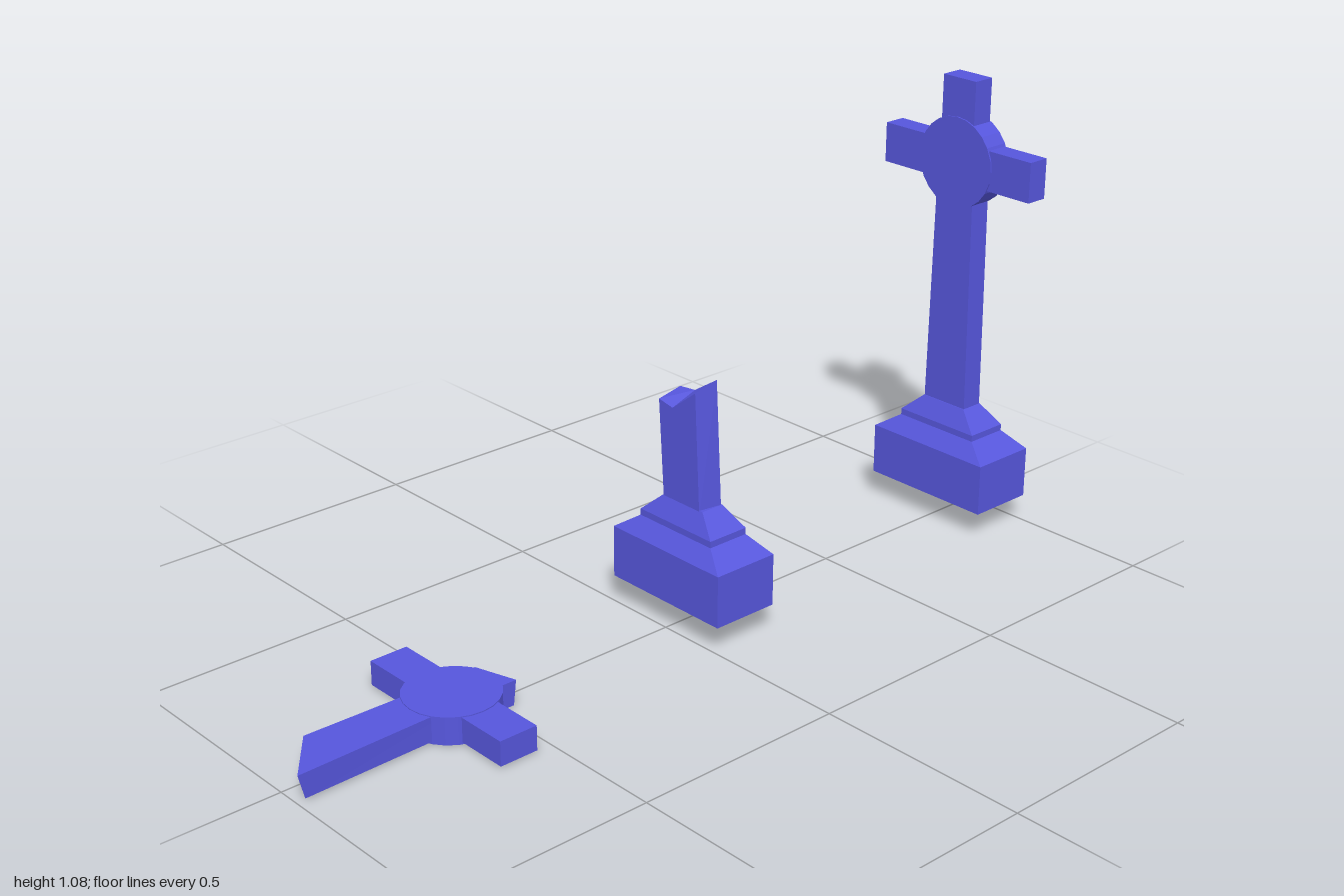
import * as THREE from 'three';

const material = new THREE.MeshStandardMaterial({ color: 0x5656dc, flatShading: true, side: THREE.DoubleSide });

function add(parent, geometry, name, x = 0, y = 0, z = 0) {
  const mesh = new THREE.Mesh(geometry, material);
  mesh.name = name;
  mesh.position.set(x, y, z);
  parent.add(mesh);
  return mesh;
}

// Skins matching rings of [x, y, z], counter-clockwise seen from above, and caps both ends
function loft(rings) {
  const n = rings[0].length;
  const pos = [];
  const quad = (a, b, c, d) => pos.push(...a, ...b, ...c, ...a, ...c, ...d);
  for (let r = 0; r < rings.length - 1; r++) {
    const lo = rings[r], hi = rings[r + 1];
    for (let i = 0; i < n; i++) {
      const j = (i + 1) % n;
      quad(lo[i], lo[j], hi[j], hi[i]);
    }
  }
  const bottom = rings[0], top = rings[rings.length - 1];
  for (let i = 0; i < n / 2 - 1; i++) {
    quad(top[i], top[i + 1], top[n - 2 - i], top[n - 1 - i]);
    quad(bottom[n - 1 - i], bottom[n - 2 - i], bottom[i + 1], bottom[i]);
  }
  const geometry = new THREE.BufferGeometry();
  geometry.setAttribute('position', new THREE.Float32BufferAttribute(pos, 3));
  geometry.computeVertexNormals();
  return geometry;
}

const rect = (y, hx, hz) => [[-hx, y, hz], [hx, y, hz], [hx, y, -hz], [-hx, y, -hz]];
const slab = (points, y) => points.map(([x, z]) => [x, y, z]);

// Block, sloped shoulder and collar shared by both monuments
function addPedestal(parent) {
  add(parent, loft([
    rect(0.065, 0.168, 0.082), rect(0.187, 0.168, 0.082), rect(0.225, 0.112, 0.052),
    rect(0.24, 0.112, 0.052), rect(0.285, 0.062, 0.029),
  ]), 'pedestal');
}

function standingCross() {
  const g = new THREE.Group();
  g.name = 'standingCross';
  addPedestal(g);
  add(g, loft([rect(0.28, 0.062, 0.027), rect(0.88, 0.053, 0.027)]), 'shaft');
  add(g, new THREE.BoxGeometry(0.096, 0.2, 0.054), 'topArm', 0, 0.975, 0);
  add(g, new THREE.BoxGeometry(0.434, 0.094, 0.054), 'crossArms', 0, 0.878, 0);
  add(g, new THREE.CylinderGeometry(0.107, 0.107, 0.061, 24), 'disc', 0, 0.878, 0).rotation.x = Math.PI / 2;
  g.position.z = -0.917;
  return g;
}

function brokenStump() {
  const g = new THREE.Group();
  g.name = 'brokenStump';
  addPedestal(g);
  // Leaning shaft with a jagged, stepped break
  add(g, loft([
    [[-0.06, 0.27, 0.03], [-0.02, 0.27, 0.03], [0.053, 0.27, 0.03],
      [0.062, 0.27, -0.026], [-0.02, 0.27, -0.028], [-0.06, 0.27, -0.028]],
    [[-0.078, 0.505, 0.028], [-0.035, 0.497, 0.028], [0.036, 0.552, 0.028],
      [0.047, 0.572, -0.024], [-0.023, 0.527, -0.026], [-0.07, 0.522, -0.026]],
  ]), 'brokenShaft');
  g.position.z = -0.079;
  return g;
}

function fallenCross() {
  const g = new THREE.Group();
  g.name = 'fallenCross';
  const cz = 0.585;
  add(g, new THREE.BoxGeometry(0.434, 0.057, 0.092), 'fallenCrossArms', 0, 0.033, cz);
  add(g, new THREE.CylinderGeometry(0.105, 0.105, 0.064, 24), 'fallenDisc', 0, 0.032, cz);
  // Shaft piece with slanted break
  add(g, loft([
    slab([[-0.057, 0.89], [0.057, 0.982], [0.05, cz], [-0.05, cz]], 0.005),
    slab([[-0.058, 0.905], [0.058, 0.997], [0.05, cz], [-0.05, cz]], 0.062),
  ]), 'fallenShaft');
  // Chipped top arm
  add(g, loft([
    slab([[-0.05, cz], [0.048, cz], [0.048, 0.463], [-0.05, 0.493]], 0.005),
    slab([[-0.05, cz], [0.048, cz], [0.048, 0.456], [-0.05, 0.486]], 0.062),
  ]), 'fallenTopArm');
  return g;
}

export function createModel() {
  const model = new THREE.Group();
  model.name = 'graveCrosses';
  model.add(standingCross(), brokenStump(), fallenCross());
  return model;
}
